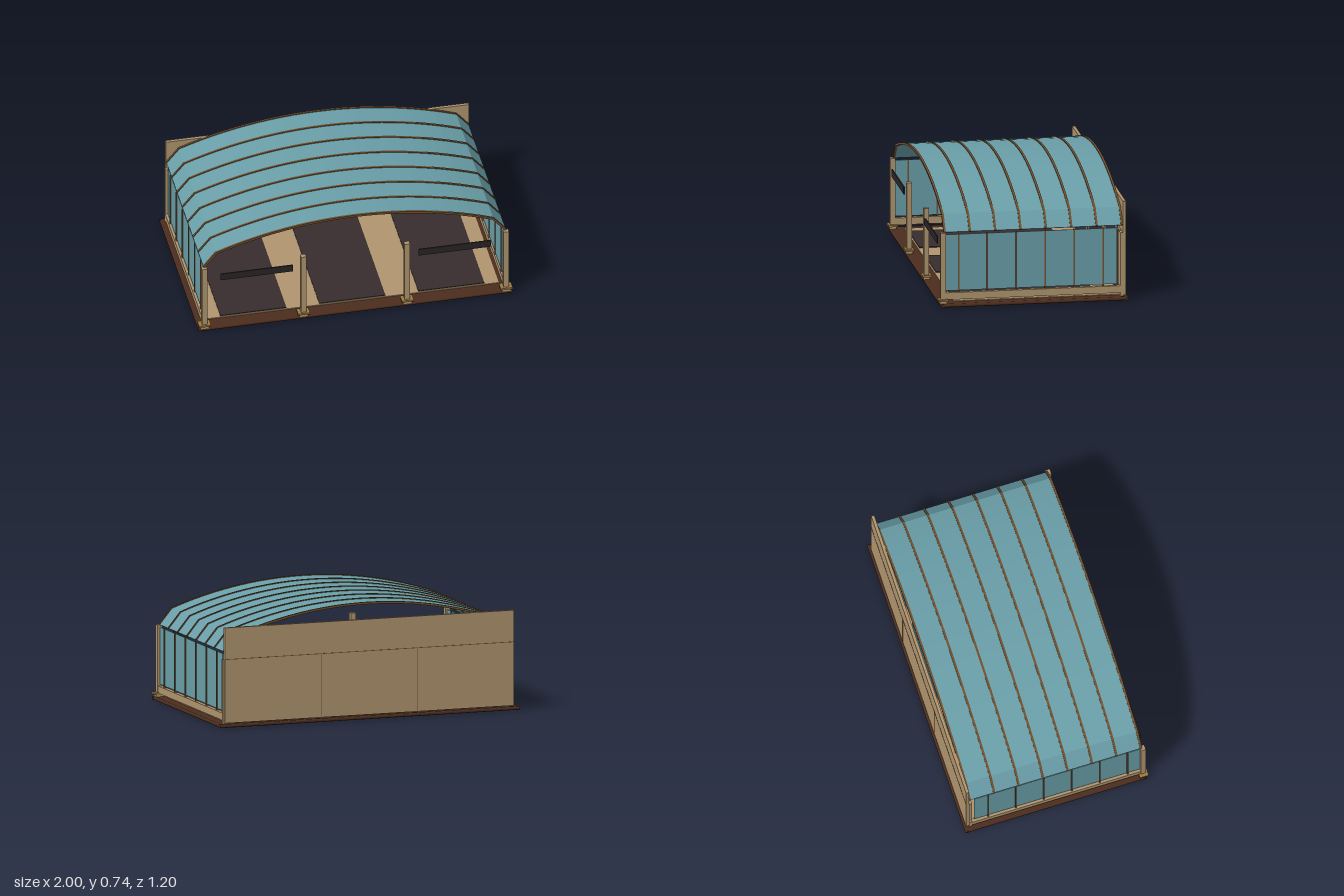
import * as THREE from 'three';

const mat = (name, color) => {
  const m = new THREE.MeshStandardMaterial({ color, side: THREE.DoubleSide });
  m.name = name;
  return m;
};

export function createModel() {
  const root = new THREE.Group();
  root.name = 'parkingShelter';
  const tan = mat('tan timber', 0xb0956f);
  const glass = mat('blue glass', 0x6a9fa9);
  const soil = mat('dark brown base', 0x4c2d1e);
  const rib = mat('brown rib', 0x70502f);
  const gold = mat('gold trim', 0xa27c42);
  const dark = mat('charcoal pad', 0x372d2f);
  const black = mat('black sign', 0x2a2526);

  const add = (name, geometry, material) => {
    const m = new THREE.Mesh(geometry, material);
    m.name = name;
    root.add(m);
    return m;
  };
  // Box given by its lower and upper limits on each axis
  const box = (name, material, x0, x1, y0, y1, z0, z1) => {
    const m = add(name, new THREE.BoxGeometry(x1 - x0, y1 - y0, z1 - z0), material);
    m.position.set((x0 + x1) / 2, (y0 + y1) / 2, (z0 + z1) / 2);
    return m;
  };

  // Base slab with a rounded rim
  box('baseSlab', soil, -0.99, 0.99, 0.001, 0.022, -0.588, 0.58);
  const rim = (name, len, x, z, alongX) => {
    const m = add(name, new THREE.CylinderGeometry(0.0115, 0.0115, len, 8), soil);
    if (alongX) m.rotation.z = Math.PI / 2;
    else m.rotation.x = Math.PI / 2;
    m.position.set(x, 0.0115, z);
  };
  for (const z of [-0.5885, 0.5785]) rim('baseRim', 2, 0, z, true);
  for (const x of [-0.9885, 0.9885]) rim('baseRim', 1.17, x, -0.005, false);

  // Stains on the underside: x, z, length, width, turn
  const stains = [
    [0.73, 0.45, 0.05, 0.035, 0], [0.10, 0, 0.17, 0.025, -0.85], [-0.73, -0.03, 0.17, 0.025, -0.85],
    [-0.54, 0.31, 0.05, 0.04, 0.4], [-0.13, -0.2, 0.04, 0.03, 0.3], [-0.53, 0.56, 0.025, 0.02, 0],
    [0.8, -0.41, 0.035, 0.02, 0], [-0.32, 0.05, 0.025, 0.02, 0],
  ];
  for (const [x, z, a, b, turn] of stains) {
    const g = new THREE.CircleGeometry(1, 14);
    g.scale(a, b, 1);
    g.rotateX(Math.PI / 2);
    g.rotateY(turn);
    add('undersideStain', g, black).position.set(x, 0, z);
  }

  // Floor and parking pads
  box('floor', tan, -0.93, 0.93, 0.02, 0.027, -0.55, 0.5);
  for (const x of [-0.63, 0, 0.63]) box('parkingPad', dark, x - 0.21, x + 0.21, 0.022, 0.032, -0.4, 0.49);

  // Front posts on foot plates
  for (const x of [-0.96, -0.33, 0.33, 0.96]) {
    box('frontPost', tan, x - 0.017, x + 0.017, 0.02, 0.475, 0.555, 0.587);
    box('footPlate', gold, x - 0.038, x + 0.038, 0.038, 0.05, 0.542, 0.6);
    box('footBlock', tan, x - 0.027, x + 0.027, 0.02, 0.04, 0.55, 0.592);
  }
  // Hanging signs over the outer bays
  for (const x of [-0.63, 0.63]) box('hangingSign', black, x - 0.23, x + 0.23, 0.38, 0.427, 0.584, 0.592);

  // Side walls
  for (const s of [-1, 1]) {
    const side = (name, m, xa, xb, ...rest) => box(name, m, Math.min(s * xa, s * xb), Math.max(s * xa, s * xb), ...rest);
    side('sideGlass', glass, 0.953, 0.959, 0.1, 0.46, -0.53, 0.555);
    side('sideSill', tan, 0.945, 0.973, 0.045, 0.09, -0.565, 0.56);
    for (let i = 0; i < 6; i++) {
      const z = 0.472 - i * 0.1825;
      side('sideMullion', rib, 0.948, 0.966, 0.088, 0.463, z - 0.004, z + 0.004);
    }
    side('backCornerPost', tan, 0.9, 0.972, 0.02, 0.43, -0.567, -0.548);
  }

  // Back wall with thin panel joints
  box('backWall', tan, -0.965, 0.965, 0.028, 0.63, -0.585, -0.565);
  box('backJoint', rib, -0.965, 0.965, 0.428, 0.432, -0.5865, -0.584);
  for (const x of [-0.322, 0.322]) {
    box('backJoint', rib, x - 0.002, x + 0.002, 0.028, 0.43, -0.5865, -0.584);
    box('backMiddlePost', tan, x - 0.05, x + 0.05, 0.02, 0.43, -0.567, -0.548);
  }

  // Back bays: dark panel, gold trim and a high window
  for (const x of [-0.63, 0, 0.63]) {
    const w = 0.262;
    box('bayPanel', dark, x - w, x + w, 0.03, 0.412, -0.568, -0.558);
    box('bayLintel', gold, x - w - 0.02, x + w + 0.02, 0.412, 0.432, -0.567, -0.55);
    for (const e of [-1, 1]) {
      const c = x + e * (w + 0.006);
      box('bayTrim', gold, c - 0.007, c + 0.007, 0.03, 0.42, -0.566, -0.546);
      box('windowBar', gold, x + e * 0.17 - 0.003, x + e * 0.17 + 0.003, 0.43, 0.515, -0.542, -0.537);
    }
    box('highWindow', glass, x - 0.253, x + 0.253, 0.425, 0.515, -0.548, -0.542);
    box('windowRail', gold, x - 0.23, x + 0.23, 0.478, 0.486, -0.542, -0.536);
  }

  // Roof profile: straight haunches joined by a shallow arc
  const profile = [[-0.96, 0.475]];
  const R = 2.576, half = Math.asin(0.88 / R), n = 24;
  for (let i = 0; i <= n; i++) {
    const a = -half + (2 * half * i) / n;
    profile.push([R * Math.sin(a), 0.727 - R + R * Math.cos(a)]);
  }
  profile.push([0.96, 0.475]);
  const normalAt = (i) => {
    const a = profile[Math.max(i - 1, 0)], b = profile[Math.min(i + 1, profile.length - 1)];
    const l = Math.hypot(b[0] - a[0], b[1] - a[1]);
    return [-(b[1] - a[1]) / l, (b[0] - a[0]) / l];
  };
  const offset = (d) => profile.map(([x, y], i) => {
    const [nx, ny] = normalAt(i);
    return new THREE.Vector2(x + nx * d, y + ny * d);
  });
  const band = (inner, outer, depth) =>
    new THREE.ExtrudeGeometry(new THREE.Shape([...offset(outer), ...offset(inner).reverse()]), { depth, bevelEnabled: false });

  add('roofGlass', band(-0.002, 0.003, 1.12), glass).position.z = -0.56;
  for (let i = 0; i < 8; i++) {
    add('roofRib', band(-0.006, 0.008, 0.014), rib).position.z = 0.56 - i * 0.16 - 0.007;
  }
  return root;
}
